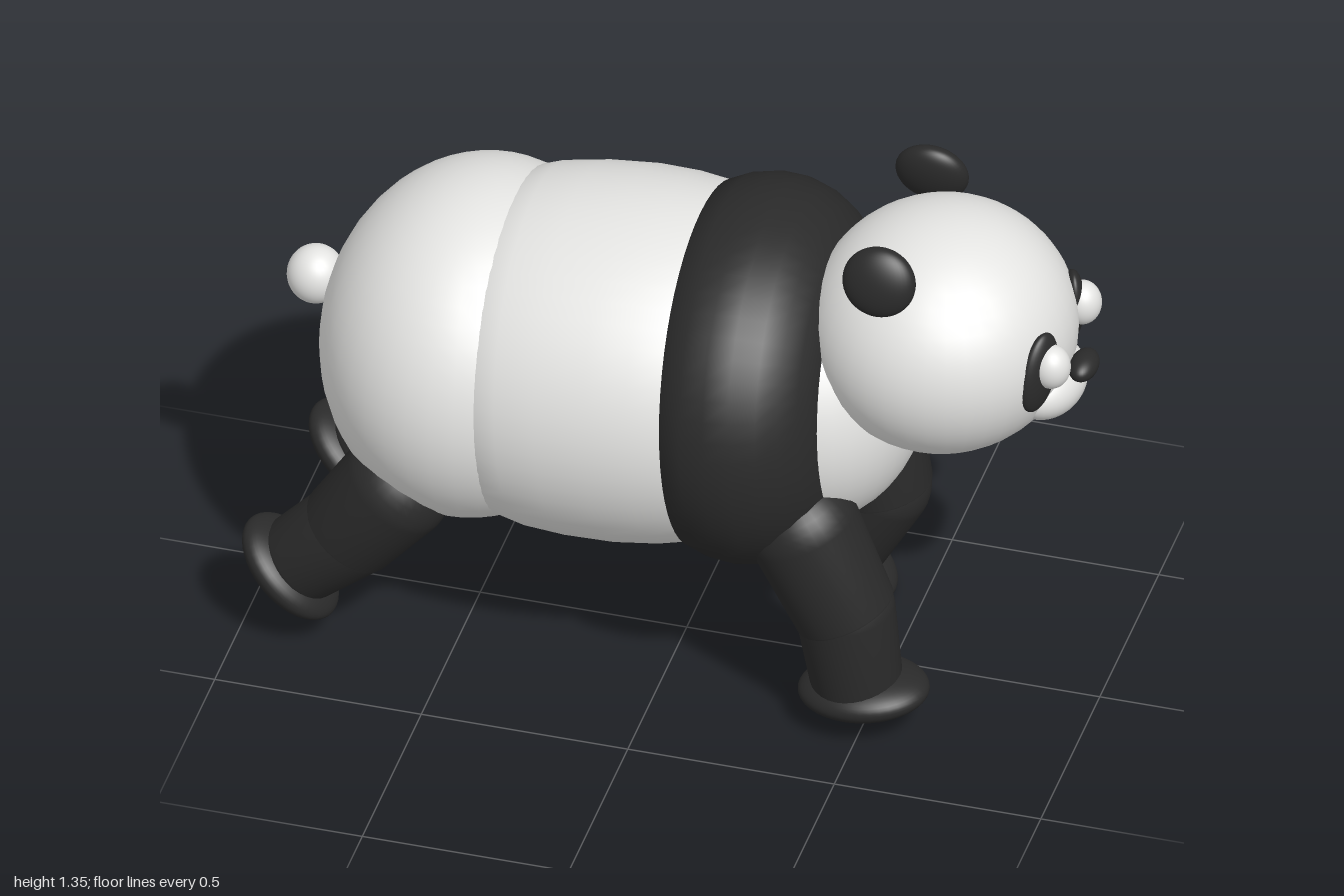
import * as THREE from 'three';

const white = new THREE.MeshStandardMaterial({ color: 0xe4e4e2 });
white.name = 'white fur';
const black = new THREE.MeshStandardMaterial({ color: 0x2a2a2a });
black.name = 'black fur';
const UP = new THREE.Vector3(0, 1, 0);

export function createModel() {
  const model = new THREE.Group();
  model.name = 'bear';

  function add(name, geometry, material, parent = model) {
    const mesh = new THREE.Mesh(geometry, material);
    mesh.name = name;
    parent.add(mesh);
    return mesh;
  }

  // Ellipsoid with centre, radii and rotation
  function ball(name, material, centre, radii, rotation = [0, 0, 0], parent = model) {
    const mesh = add(name, new THREE.SphereGeometry(1, 40, 28), material, parent);
    mesh.position.set(...centre);
    mesh.scale.set(...radii);
    mesh.rotation.set(...rotation);
    return mesh;
  }

  const lathe = (profile, sides = 48) =>
    new THREE.LatheGeometry(profile.map(([t, r]) => new THREE.Vector2(r, t)), sides);

  // Body section turned around the spine, which rises slightly to the head
  function section(name, material, centre, zScale, profile) {
    const mesh = add(name, lathe(profile, 56).rotateZ(-Math.PI / 2), material);
    mesh.position.set(...centre);
    mesh.scale.z = zScale;
    mesh.rotation.z = 0.07;
  }

  // Body
  ball('rump', white, [-0.5, 0.75, 0], [0.37, 0.425, 0.44]);
  ball('tail', white, [-0.898, 0.845, 0], [0.068, 0.072, 0.068]);
  section('belly', white, [-0.16, 0.77, 0], 1.03, [
    [-0.25, 0], [-0.25, 0.39], [-0.248, 0.405], [-0.18, 0.424], [-0.08, 0.436], [0.04, 0.44],
    [0.14, 0.433], [0.22, 0.419], [0.28, 0.4], [0.28, 0]]);
  section('shoulders', black, [0.175, 0.79, 0], 1.04, [
    [-0.115, 0.4], [-0.113, 0.425], [-0.06, 0.446], [0, 0.455], [0.06, 0.449], [0.12, 0.426],
    [0.165, 0.394], [0.2, 0.355], [0.225, 0.31], [0.238, 0.26], [0.24, 0]]);
  ball('chest', white, [0.32, 0.78, 0], [0.26, 0.335, 0.325]);

  // Head
  ball('head', white, [0.622, 1.008, 0], [0.315, 0.293, 0.33]);
  ball('muzzle', white, [0.87, 0.9, 0], [0.095, 0.08, 0.13]);
  ball('nose', black, [0.962, 0.955, 0], [0.034, 0.03, 0.057]);
  for (const s of [-1, 1]) {
    const side = s > 0 ? 'right' : 'left';
    ball(side + 'Ear', black, [0.53, 1.266, s * 0.225], [0.088, 0.086, 0.042], [-s * 0.27, 0, 0]);
    const patch = new THREE.Group();
    patch.name = side + 'EyePatch';
    patch.position.set(0.893, 1.02, s * 0.143);
    patch.rotation.y = -s * 0.42;
    model.add(patch);
    ball('patch', black, [0, 0, 0], [0.028, 0.102, 0.058], [-s * 0.25, 0, 0], patch);
    ball(side + 'Eye', white, [0.92, 1.035, s * 0.132], [0.046, 0.055, 0.047]);
  }

  // Limb segment with a rounded top, running from a down to b
  function segment(name, a, b, rTop, rBottom, parent) {
    const dir = new THREE.Vector3().subVectors(a, b);
    const length = dir.length();
    const profile = [[-0.05, 0], [-0.045, rBottom * 0.5], [-0.025, rBottom * 0.85], [0, rBottom]];
    for (let i = 0; i <= 10; i++) {
      const angle = (i / 10) * Math.PI / 2;
      profile.push([length + rTop * Math.sin(angle), Math.max(rTop * Math.cos(angle), 0)]);
    }
    const mesh = add(name, lathe(profile, 32), black, parent);
    mesh.position.copy(b);
    mesh.quaternion.setFromUnitVectors(UP, dir.normalize());
  }

  // Leg: hip, knee, ankle and foot centre in side profile, with the foot pitch
  function leg(name, z, hip, knee, ankle, foot, pitch, footLength) {
    const group = new THREE.Group();
    group.name = name;
    group.position.z = z;
    model.add(group);
    const v = ([x, y]) => new THREE.Vector3(x, y, 0);
    segment('upperLeg', v(hip), v(knee), 0.135, 0.122, group);
    segment('lowerLeg', v(knee), v(ankle), 0.118, 0.108, group);
    ball('foot', black, [...foot, 0], [footLength, 0.055, 0.125], [0, 0, pitch], group);
  }
  leg('rightFrontLeg', 0.25, [0.355, 0.54], [0.455, 0.325], [0.483, 0.13], [0.5, 0.108], 0.1, 0.157);
  leg('leftFrontLeg', -0.25, [0.355, 0.54], [0.4, 0.325], [0.3, 0.13], [0.303, 0.09], -0.5, 0.148);
  leg('rightHindLeg', 0.25, [-0.635, 0.46], [-0.745, 0.315], [-0.86, 0.21], [-0.888, 0.178], -0.78, 0.148);
  leg('leftHindLeg', -0.25, [-0.625, 0.455], [-0.725, 0.305], [-0.84, 0.2], [-0.864, 0.165], -0.73, 0.15);

  return model;
}
